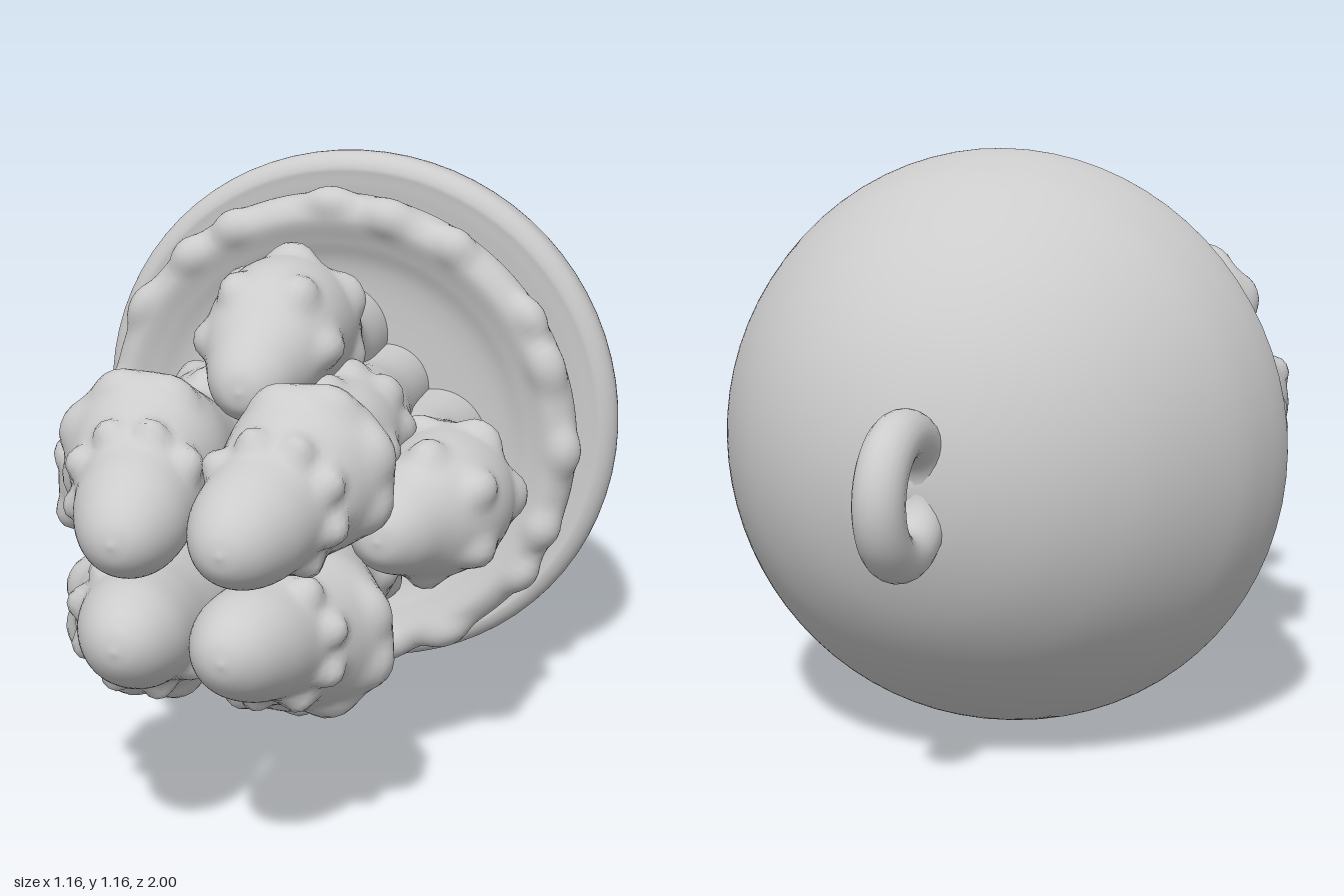
import * as THREE from 'three';
import { mergeVertices } from 'three/addons/utils/BufferGeometryUtils.js';

const CENTRE_Y = 0.585;
const material = new THREE.MeshStandardMaterial({ color: 0xcccccc, roughness: 0.7 });

function addMesh(parent, name, geometry) {
  const mesh = new THREE.Mesh(geometry, material);
  mesh.name = name;
  parent.add(mesh);
  return mesh;
}

// Weld the seam so smooth normals run all the way round
function smooth(geometry) {
  geometry.deleteAttribute('uv');
  geometry.deleteAttribute('normal');
  const welded = mergeVertices(geometry, 1e-5);
  welded.computeVertexNormals();
  return welded;
}

// Solid of revolution about the z axis from [radius, z] points, back to front
function revolve(points, samples, segments) {
  const curve = new THREE.SplineCurve(points.map(([r, z]) => new THREE.Vector2(r, z)));
  const profile = curve.getPoints(samples);
  profile.forEach((p) => { p.x = Math.max(p.x, 0); });
  return smooth(new THREE.LatheGeometry(profile, segments).rotateX(Math.PI / 2));
}

// Swell soft warts out of a surface; each has a point, an angle about z and
// a size: [half width round the part, half length along it, height]
function raiseWarts(geometry, warts) {
  const pos = geometry.attributes.position;
  const nor = geometry.attributes.normal;
  const p = new THREE.Vector3(), n = new THREE.Vector3(), d = new THREE.Vector3();
  for (let i = 0; i < pos.count; i++) {
    p.fromBufferAttribute(pos, i);
    n.fromBufferAttribute(nor, i);
    let height = 0;
    for (const { point, angle, size } of warts) {
      d.subVectors(p, point);
      const round = -d.x * Math.sin(angle) + d.y * Math.cos(angle);
      const along = Math.max(d.lengthSq() - round * round, 0);
      const q = (round / size[0]) ** 2 + along / size[1] ** 2;
      height = Math.max(height, size[2] * Math.exp(-(q ** 1.5)));
    }
    p.addScaledVector(n, height);
    pos.setXYZ(i, p.x, p.y, p.z);
  }
  geometry.computeVertexNormals();
  return geometry;
}

// Tentacle along z: stations are [sideways offset, radius, z]; leans towards +x
function tentacleGeometry(stations, wartRows) {
  const curve = new THREE.CatmullRomCurve3(stations.map((s) => new THREE.Vector3(...s)), false, 'centripetal');
  const samples = curve.getPoints(76);
  samples.forEach((s) => { s.y = Math.max(s.y, 0); });
  const geometry = new THREE.LatheGeometry(samples.map((s) => new THREE.Vector2(s.y, s.z)), 56);
  geometry.rotateX(Math.PI / 2);
  // Shift every ring sideways to follow the bend
  const pos = geometry.attributes.position;
  for (let i = 0; i < pos.count; i++) {
    pos.setX(i, pos.getX(i) + samples[i % samples.length].x);
  }
  const warts = wartRows.flatMap(({ z, angles, size }) => {
    const s = samples.reduce((a, b) => (Math.abs(b.z - z) < Math.abs(a.z - z) ? b : a));
    return angles.map((degrees) => {
      const angle = THREE.MathUtils.degToRad(degrees);
      const point = new THREE.Vector3(s.x + s.y * Math.cos(angle), s.y * Math.sin(angle), s.z);
      return { point, angle, size };
    });
  });
  return raiseWarts(smooth(geometry), warts);
}

export function createModel() {
  const model = new THREE.Group();
  model.name = 'jellyfishPendant';
  const body = new THREE.Group();
  body.name = 'jellyfish';
  body.position.y = CENTRE_Y;
  model.add(body);

  // Bell with a rounded rim
  addMesh(body, 'bell', revolve([
    [0, -0.787], [0.13, -0.768], [0.26, -0.715], [0.37, -0.635], [0.455, -0.54], [0.53, -0.42],
    [0.567, -0.32], [0.581, -0.25], [0.575, -0.22], [0.552, -0.203], [0.52, -0.205], [0.4, -0.215], [0, -0.215],
  ], 80, 72));

  // Flared collar under the bell, slightly dished, with warts round its lip
  const collar = revolve([
    [0, -0.23], [0.36, -0.23], [0.405, -0.2], [0.45, -0.165], [0.505, -0.125], [0.517, -0.09],
    [0.505, -0.055], [0.47, -0.037], [0.42, -0.055], [0.36, -0.078], [0.25, -0.085], [0, -0.085],
  ], 77, 180);
  const count = 19;
  const lipWarts = Array.from({ length: count }, (_, i) => {
    const angle = ((i + 0.2 * Math.sin(i * 2.3)) / count) * Math.PI * 2;
    const r = 0.5 + 0.012 * Math.sin(i * 4.1);
    const grow = 1 + 0.15 * Math.sin(i * 1.7);
    return {
      point: new THREE.Vector3(r * Math.cos(angle), r * Math.sin(angle), -0.058),
      angle,
      size: [0.046 * grow, 0.034, 0.022],
    };
  });
  addMesh(body, 'collar', raiseWarts(collar, lipWarts));

  // Hanging loop at the back
  const loop = addMesh(body, 'hangingLoop', new THREE.TorusGeometry(0.108, 0.047, 20, 48));
  loop.rotation.y = Math.PI / 2;
  loop.position.set(-0.02, 0, -0.845);

  // Four short outer tentacles
  const outer = tentacleGeometry([
    [0.22, 0.108, -0.14], [0.22, 0.108, 0.05], [0.26, 0.115, 0.14], [0.315, 0.135, 0.24],
    [0.325, 0.137, 0.34], [0.315, 0.125, 0.42], [0.285, 0.095, 0.5], [0.272, 0.07, 0.555],
    [0.267, 0.038, 0.587], [0.265, 0, 0.597],
  ], [
    { z: 0.25, angles: [-120, -60, 0, 60, 120], size: [0.045, 0.026, 0.026] },
    { z: 0.42, angles: [-90, -32, 32, 90], size: [0.032, 0.04, 0.022] },
  ]);

  // Four long inner tentacles
  const inner = tentacleGeometry([
    [0.155, 0.09, -0.14], [0.155, 0.09, 0.05], [0.175, 0.108, 0.22], [0.18, 0.118, 0.38],
    [0.18, 0.112, 0.51], [0.2, 0.133, 0.58], [0.222, 0.156, 0.66], [0.2, 0.138, 0.74],
    [0.168, 0.116, 0.82], [0.15, 0.1, 0.9], [0.142, 0.07, 0.96], [0.138, 0.037, 0.989], [0.138, 0, 1],
  ], [
    { z: 0.29, angles: [-45, 0, 45], size: [0.035, 0.038, 0.022] },
    { z: 0.43, angles: [-50, 50], size: [0.032, 0.042, 0.02] },
    { z: 0.69, angles: [-70, -25, 25, 70], size: [0.045, 0.03, 0.016] },
    { z: 0.8, angles: [-100, -60, -20, 20, 60, 100], size: [0.028, 0.026, 0.024] },
  ]);

  for (let i = 0; i < 4; i++) {
    addMesh(body, 'outerTentacle', outer).rotation.z = i * Math.PI / 2;
    addMesh(body, 'innerTentacle', inner).rotation.z = (i + 0.5) * Math.PI / 2;
  }
  return model;
}
